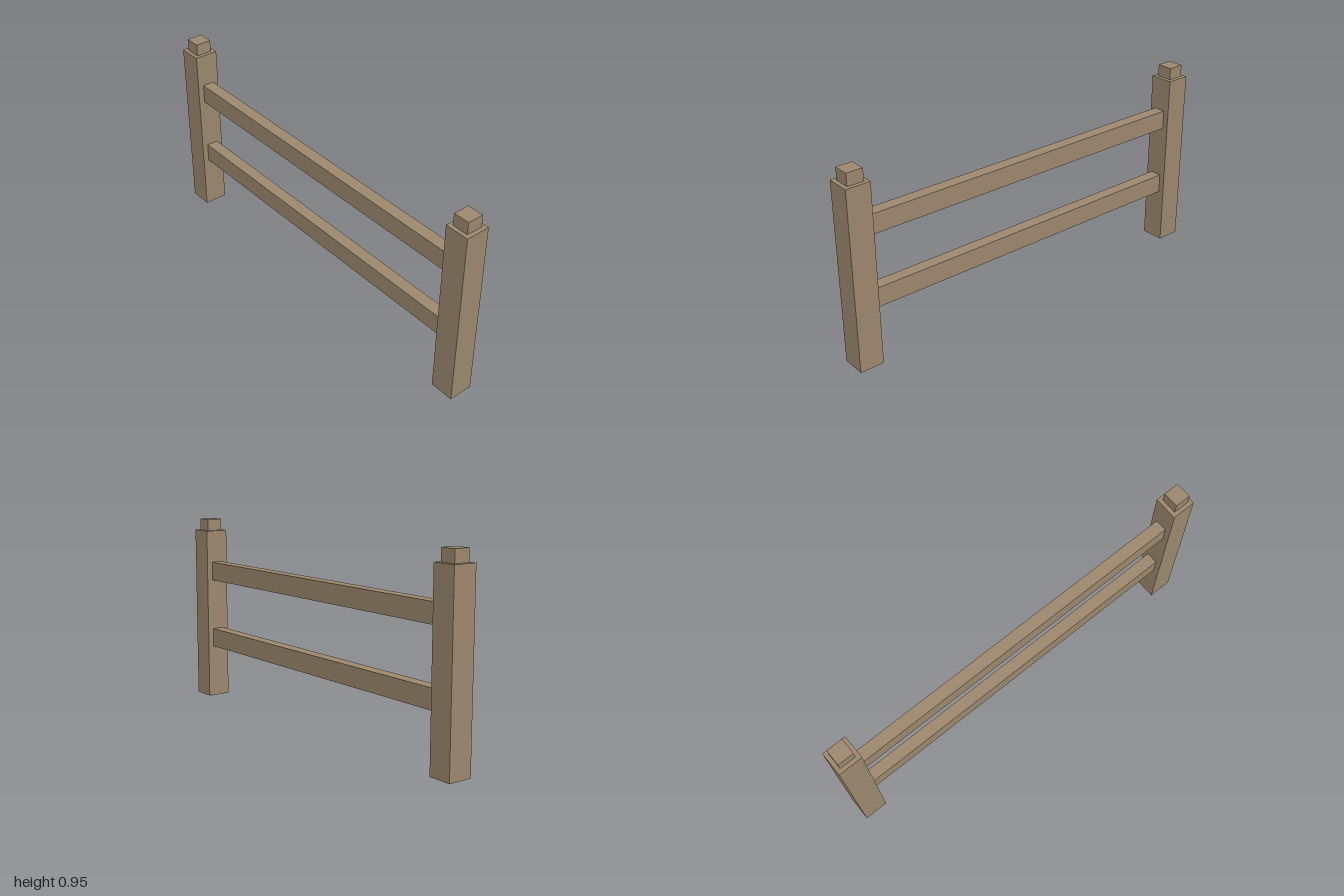
import * as THREE from 'three';

export function createModel() {
  const group = new THREE.Group();
  const wood = new THREE.MeshStandardMaterial({ color: 0xa08b70 });
  wood.name = 'weathered wood';

  // Box standing on height y
  const addBox = (name, width, height, depth, x, y) => {
    const mesh = new THREE.Mesh(new THREE.BoxGeometry(width, height, depth), wood);
    mesh.name = name;
    mesh.position.set(x, y + height / 2, 0);
    group.add(mesh);
  };

  const post = 0.119, postHeight = 0.892;
  const postX = 1 - post / 2;

  // Square posts with smaller caps
  for (const [side, sign] of [['left', 1], ['right', -1]]) {
    addBox(`${side}Post`, post, postHeight, post, sign * postX, 0);
    addBox(`${side}PostCap`, 0.08, 0.06, 0.08, sign * postX, postHeight);
  }

  // Horizontal rails, ending inside the posts
  addBox('lowerRail', 2 * postX, 0.096, 0.06, 0, 0.271);
  addBox('upperRail', 2 * postX, 0.096, 0.06, 0, 0.63);

  return group;
}
